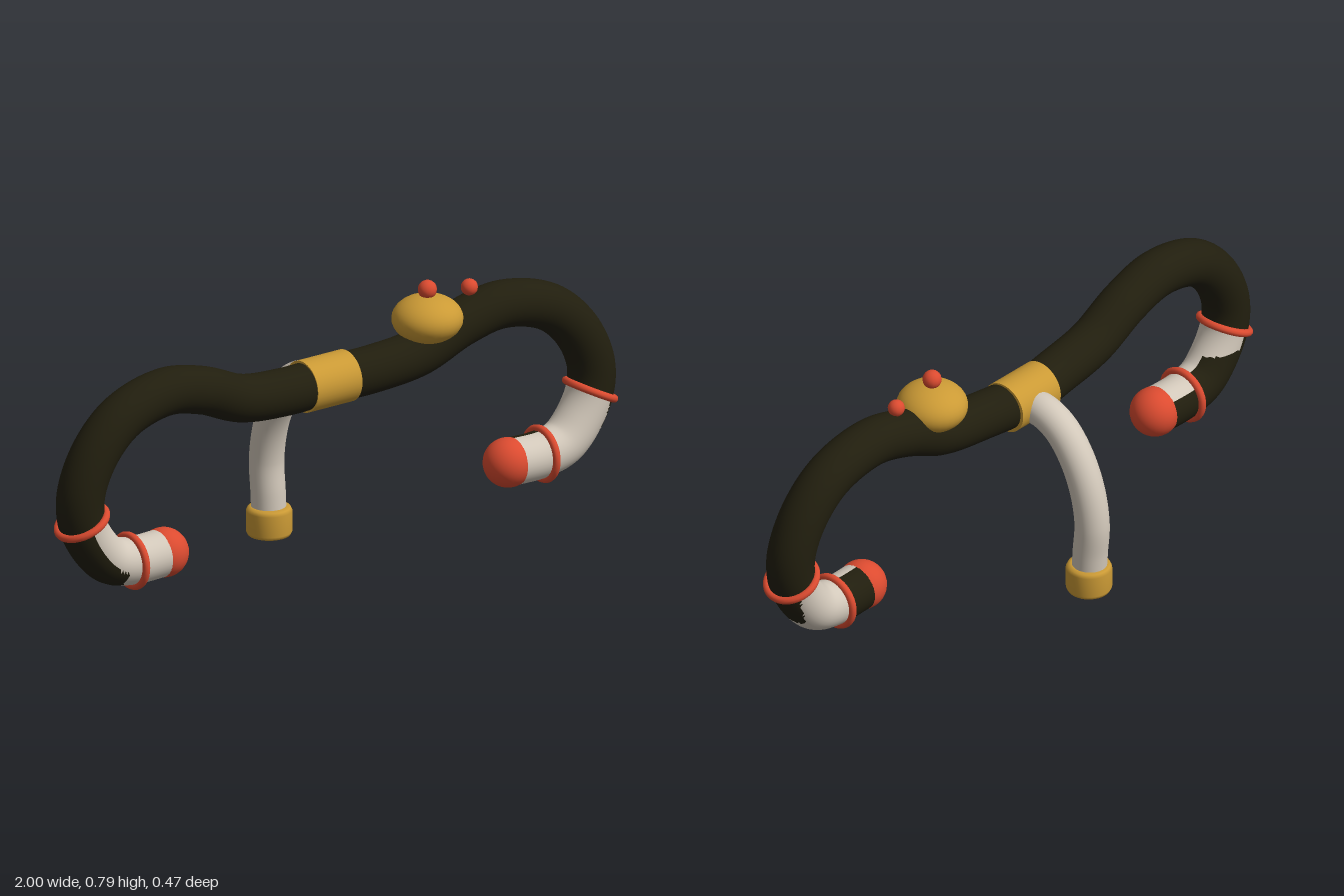
import * as THREE from 'three';

const mat = (name, color) => Object.assign(new THREE.MeshStandardMaterial({ color }), { name });

export function createModel() {
  const dark = mat('dark olive', 0x211e0e);
  const pale = mat('pale grey', 0xd2c8ba);
  const gold = mat('gold', 0xcb9a35);
  const red = mat('red', 0xdc4b30);
  dark.side = pale.side = THREE.DoubleSide; // open tubes
  const group = new THREE.Group();
  const add = (name, geo, material, x = 0, y = 0, z = 0) => {
    const m = new THREE.Mesh(geo, material);
    m.name = name;
    m.position.set(x, y, z);
    group.add(m);
    return m;
  };
  const V = (x, y, z) => new THREE.Vector3(x, y, z);

  // Handlebar: mirrored half path, from grip end to the middle
  const half = [
    [0.62, 0.175], [0.74, 0.175], [0.82, 0.195], [0.88, 0.255], [0.92, 0.335], [0.922, 0.42],
    [0.87, 0.53], [0.77, 0.618], [0.61, 0.657], [0.47, 0.63], [0.32, 0.57], [0.16, 0.55],
  ];
  const points = (s) => half.map(([x, y]) =>
    V(s * x, y, y < 0.34 ? 0.147 : 0.09 + 0.057 * Math.pow(x / 0.92, 0.75)));
  const path = new THREE.CatmullRomCurve3([...points(-1), V(0, 0.545, 0.09), ...points(1).reverse()]);
  const bar = new THREE.TubeGeometry(path, 320, 0.07, 36, false);

  // Sort the faces into wrapped (dark) and bare (pale) areas of the grips
  const isPale = (p, n) => {
    const ax = Math.abs(p.x);
    const belowRing = (ax - 0.92) * 0.45 + (p.y - 0.335) * 0.89 < 0;
    if (p.y > 0.4 || !belowRing) return false;
    const left = p.x > 0;
    if (ax < 0.74) return n.z > 0 || (!left && n.y > 0.6);
    const out = n.x * Math.sign(p.x) * 0.88 - n.y * 0.47;
    if (left) return p.y < 0.19 || out < 0.45 + (0.33 - p.y) * 2.5;
    if (ax < 0.8) return n.z > -0.2;
    return out < 0.2 && (n.z > -0.2 || p.y > 0.28);
  };
  const P = bar.attributes.position, N = bar.attributes.normal, idx = bar.index.array;
  const sorted = [[], []];
  const p = V(0, 0, 0), n = V(0, 0, 0), t = V(0, 0, 0);
  for (let i = 0; i < idx.length; i += 3) {
    p.set(0, 0, 0);
    n.set(0, 0, 0);
    for (let k = 0; k < 3; k++) {
      p.add(t.fromBufferAttribute(P, idx[i + k]));
      n.add(t.fromBufferAttribute(N, idx[i + k]));
    }
    p.divideScalar(3);
    n.normalize();
    sorted[isPale(p, n) ? 1 : 0].push(idx[i], idx[i + 1], idx[i + 2]);
  }
  bar.setIndex([...sorted[0], ...sorted[1]]);
  bar.addGroup(0, sorted[0].length, 0);
  bar.addGroup(sorted[0].length, sorted[1].length, 1);
  add('handlebar', bar, [dark, pale]);

  // Grip ends and rings on both sides
  for (const s of [-1, 1]) {
    const side = s > 0 ? 'left' : 'right';
    add(side + 'GripEnd', new THREE.SphereGeometry(0.073, 32, 20), red, s * 0.623, 0.175, 0.147);
    const ring = new THREE.TorusGeometry(0.075, 0.0115, 10, 40);
    const inner = add(side + 'InnerRing', ring, red, s * 0.743, 0.175, 0.147);
    inner.rotation.y = Math.PI / 2;
    const upper = add(side + 'UpperRing', ring, red, s * 0.92, 0.333, 0.148);
    upper.quaternion.setFromUnitVectors(V(0, 0, 1), V(s * 0.45, 0.89, 0).normalize());
  }

  // Centre clamp
  const clamp = add('clamp', new THREE.CylinderGeometry(0.077, 0.077, 0.16, 36), gold, 0, 0.545, 0.092);
  clamp.rotation.z = Math.PI / 2;

  // Stem curving back and down into its collar
  const stemPath = new THREE.CatmullRomCurve3([
    V(0, 0.535, 0.07), V(0, 0.53, 0), V(0, 0.5, -0.06), V(0, 0.435, -0.116),
    V(0, 0.34, -0.16), V(0, 0.23, -0.18), V(0, 0.13, -0.173), V(0, 0.04, -0.168),
  ]);
  add('stem', new THREE.TubeGeometry(stemPath, 60, 0.051, 28, false), pale);
  const profile = [[0, 0], [0.052, 0], [0.062, 0.004], [0.067, 0.014], [0.067, 0.076],
    [0.062, 0.086], [0.052, 0.09], [0, 0.09]].map(([x, y]) => new THREE.Vector2(x, y));
  add('stemCollar', new THREE.LatheGeometry(profile, 36), gold, 0, 0, -0.168);

  // Bell with its top knob and striker
  add('bell', new THREE.SphereGeometry(0.104, 32, 20), gold, 0.35, 0.669, 0.123).scale.y = 0.68;
  add('bellKnob', new THREE.SphereGeometry(0.028, 14, 10), red, 0.35, 0.757, 0.123);
  add('bellStriker', new THREE.SphereGeometry(0.025, 14, 10), red, 0.502, 0.731, 0.123);

  return group;
}
